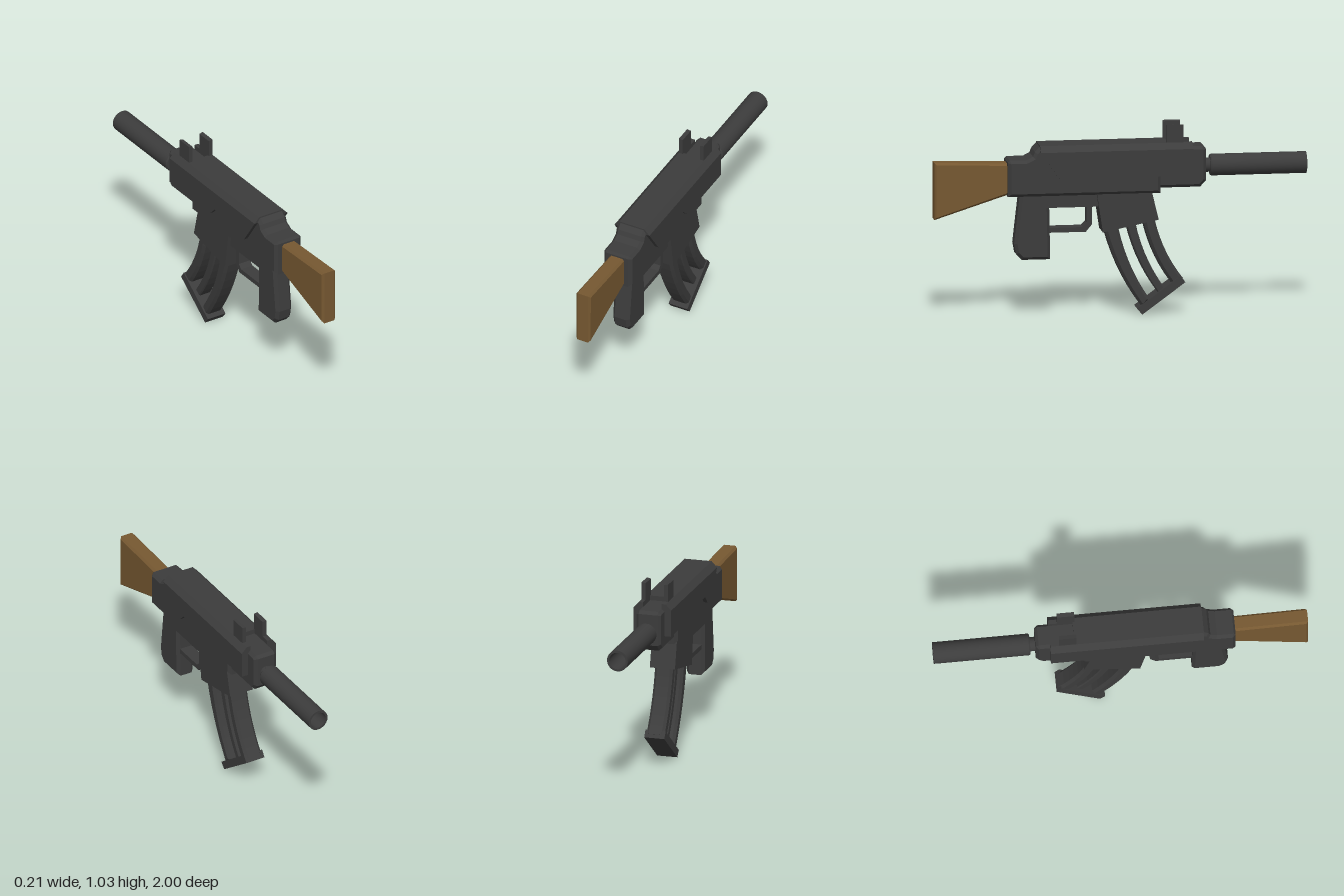
import * as THREE from 'three';

const metal = new THREE.MeshStandardMaterial({ color: 0x3c3c3c });
metal.name = 'charcoal metal';
const wood = new THREE.MeshStandardMaterial({ color: 0x765831 });
wood.name = 'brown wood';

export function createModel() {
  const group = new THREE.Group();

  const add = (name, geometry, material = metal) => {
    const mesh = new THREE.Mesh(geometry, material);
    mesh.name = name;
    group.add(mesh);
    return mesh;
  };
  const outline = (points) => new THREE.Shape(points.map(([a, b]) => new THREE.Vector2(a, b)));

  // Side profile in (z, y), extruded across x to the given half width, with chamfered edges
  const slab = (shape, half, bevel = 0) => {
    const geometry = new THREE.ExtrudeGeometry(shape, {
      depth: 2 * (half - bevel), curveSegments: 8, bevelEnabled: bevel > 0,
      bevelThickness: bevel, bevelSize: bevel, bevelOffset: -bevel, bevelSegments: 1,
    });
    return geometry.translate(0, 0, bevel - half).rotateY(-Math.PI / 2);
  };

  // Cross-section in (x, y), extruded along z
  const beam = (points, z0, z1) =>
    new THREE.ExtrudeGeometry(outline(points), { depth: z1 - z0, bevelEnabled: false }).translate(0, 0, z0);

  // Stock
  add('stock', slab(outline([[1, 0.848], [0.58, 0.835], [0.58, 0.675], [0.61, 0.665], [1, 0.54]]), 0.043, 0.011), wood);

  // Receiver body with a stepped rear ramp
  add('receiver', slab(outline([
    [0.61, 0.66], [0.61, 0.845], [0.6, 0.857], [0.51, 0.857], [0.475, 0.875],
    [0.465, 0.9], [0.44, 0.925], [-0.21, 0.925], [-0.21, 0.66],
  ]), 0.084, 0.016));

  // Front block carrying the barrel
  add('frontBlock', slab(outline([
    [-0.18, 0.686], [-0.18, 0.906], [-0.44, 0.906], [-0.456, 0.89], [-0.456, 0.72], [-0.425, 0.686],
  ]), 0.068, 0.016));

  // Upper cover: notched sides, then a chamfered roof
  add('coverSides', slab(outline([
    [0.438, 0.9], [0.337, 0.755], [0.268, 0.755], [0.225, 0.798], [0.053, 0.798],
    [0.01, 0.755], [-0.38, 0.755], [-0.38, 0.9],
  ]), 0.105));
  add('coverRoof', beam([[-0.105, 0.9], [0.105, 0.9], [0.075, 0.932], [-0.075, 0.932]], -0.25, 0.438));

  // Roof rails beside the front recess, and the sight posts on them
  for (const s of [1, -1]) {
    const side = s > 0 ? 'left' : 'right';
    add(side + 'RoofRail', beam([[s * 0.052, 0.9], [s * 0.105, 0.9], [s * 0.075, 0.932], [s * 0.052, 0.932]], -0.38, -0.25));
    add(side + 'SightPost', beam([[s * 0.052, 0.91], [s * 0.074, 0.91], [s * 0.074, 1.028], [s * 0.052, 1.024]], -0.333, -0.24));
  }

  // Barrel: neck, thick tube and hollow muzzle
  const barrelProfile = [
    [0, 0.44], [0.038, 0.44], [0.038, 0.483], [0.053, 0.483], [0.058, 0.49],
    [0.058, 1], [0.046, 1], [0.046, 0.8], [0, 0.8],
  ];
  // Doubling the corners keeps the lathe edges crisp
  const crisp = barrelProfile.flatMap(([r, h]) => [new THREE.Vector2(r, h), new THREE.Vector2(r, h)]);
  const barrel = new THREE.LatheGeometry(crisp, 24).rotateX(-Math.PI / 2).translate(0, 0.793, 0);
  add('barrel', barrel);

  // Grip, trigger frame and trigger guard
  add('grip', slab(outline([
    [0.54, 0.68], [0.572, 0.4], [0.562, 0.345], [0.53, 0.312], [0.378, 0.312], [0.385, 0.68],
  ]), 0.05, 0.016));
  add('triggerFrame', slab(outline([[0.4, 0.592], [0.4, 0.68], [0.1, 0.68], [0.1, 0.592]]), 0.05));
  add('triggerGuard', slab(outline([
    [0.39, 0.455], [0.39, 0.481], [0.203, 0.481], [0.182, 0.503], [0.182, 0.6],
    [0.155, 0.6], [0.155, 0.493], [0.187, 0.455],
  ]), 0.036));

  // Magazine well
  add('magazineWell', slab(outline([[0.134, 0.68], [0.1, 0.455], [-0.2, 0.516], [-0.16, 0.68]]), 0.07));

  // Curved magazine ribs: each spans two parallel arcs
  const rib = (name, rear, front, half, bevel) => {
    const [[az, ay], [bz, by]] = rear;
    const [[cz, cy], [dz, dy]] = front;
    const shape = new THREE.Shape();
    shape.moveTo(az, ay);
    shape.quadraticCurveTo((az + bz) / 2 + 0.048, (ay + by) / 2 - 0.03, bz, by);
    shape.lineTo(dz, dy);
    shape.quadraticCurveTo((cz + dz) / 2 + 0.048, (cy + dy) / 2 - 0.03, cz, cy);
    add(name, slab(shape, half, bevel));
  };
  rib('rearRib', [[0.1, 0.52], [-0.115, 0.04]], [[0.026, 0.54], [-0.157, 0.08]], 0.05, 0.014);
  rib('middleRib', [[-0.02, 0.55], [-0.205, 0.11]], [[-0.068, 0.56], [-0.24, 0.135]], 0.036, 0.006);
  rib('frontRib', [[-0.11, 0.57], [-0.277, 0.16]], [[-0.17, 0.58], [-0.335, 0.19]], 0.05, 0.014);

  // Magazine floor plate
  add('magazinePlate', slab(outline([[-0.086, 0.035], [-0.113, 0.002], [-0.345, 0.171], [-0.32, 0.207]]), 0.056));

  return group;
}
